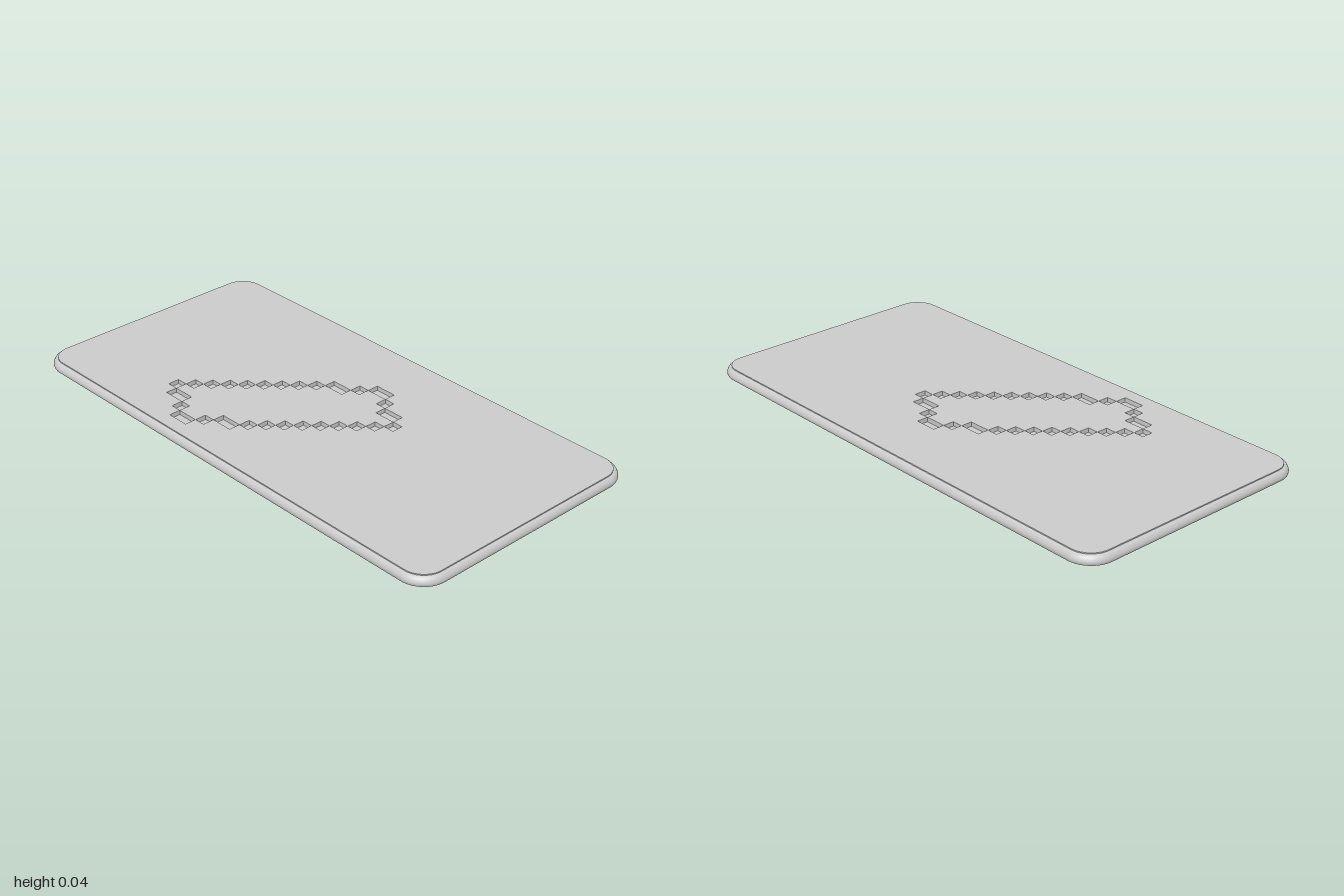
import * as THREE from 'three';
import { toCreasedNormals } from 'three/addons/utils/BufferGeometryUtils.js';

const material = new THREE.MeshStandardMaterial({ color: 0xcccccc });
const WIDTH = 1, LENGTH = 2, CORNER = 0.1;
const TOP = 0.037, PIT_FLOOR = 0.02, LIP_INSET = 0.018;

// Corner points of the slab outline, moved inwards by inset (counter-clockwise)
function outline(inset) {
  const points = [], steps = 10;
  const cx = WIDTH / 2 - CORNER, cy = LENGTH / 2 - CORNER, r = CORNER - inset;
  [[1, 1], [-1, 1], [-1, -1], [1, -1]].forEach(([sx, sy], q) => {
    for (let i = 0; i <= steps; i++) {
      const a = (q + i / steps) * Math.PI / 2;
      points.push(new THREE.Vector2(sx * cx + r * Math.cos(a), sy * cy + r * Math.sin(a)));
    }
  });
  return points;
}

// Rounded side wall lofted through [inset, height] sections
function loft(sections) {
  const positions = [], index = [];
  const n = outline(0).length;
  sections.forEach(([inset, y], s) => {
    outline(inset).forEach((p, i) => {
      positions.push(p.x, y, -p.y);
      if (s === 0) return;
      const j = (i + 1) % n, low = (s - 1) * n, high = s * n;
      index.push(low + i, low + j, high + j, low + i, high + j, high + i);
    });
  });
  const geometry = new THREE.BufferGeometry();
  geometry.setAttribute('position', new THREE.Float32BufferAttribute(positions, 3));
  geometry.setIndex(index);
  geometry.computeVertexNormals();
  return geometry;
}

// Engraved cells: [column, first row, rows]; the other half is its point mirror
function engravedCells() {
  const half = [[3, 0, 1], [2, 1, 2], [1, 3, 1], [0, 4, 2], [1, 6, 1], [2, 7, 2]];
  for (let i = 0; i < 8; i++) half.push([3 + i, 9 + i, 1]);
  return half.flatMap(([c, r, n]) => [[c, r, n], [14 - c, 18 - r - n, n]]);
}

function cellHole([column, row, rows]) {
  const w = 0.0455, h = 0.0441, gap = 0.0004;
  const x0 = -0.426 + column * w + gap, x1 = x0 + w - 2 * gap;
  const y0 = 0.508 - row * h - gap, y1 = y0 - rows * h + 2 * gap;
  return new THREE.Path([
    new THREE.Vector2(x0, y0), new THREE.Vector2(x1, y0),
    new THREE.Vector2(x1, y1), new THREE.Vector2(x0, y1),
  ]);
}

export function createModel() {
  const group = new THREE.Group();
  const add = (name, geometry) => {
    const mesh = new THREE.Mesh(geometry, material);
    mesh.name = name;
    group.add(mesh);
    return mesh;
  };

  // Rounded rim, fullest just above the base
  add('rim', loft([
    [0.003, 0], [0.0005, 0.006], [0, 0.012], [0.002, 0.019],
    [0.006, 0.026], [0.011, 0.031], [LIP_INSET, 0.033],
  ]));

  // Flat underside
  add('underside', new THREE.ShapeGeometry(new THREE.Shape(outline(0.003))).rotateX(Math.PI / 2));

  // Raised top plate, pierced by the stepped outline
  const plate = new THREE.Shape(outline(LIP_INSET));
  plate.holes = engravedCells().map(cellHole);
  const plateGeometry = new THREE.ExtrudeGeometry(plate, {
    depth: TOP - PIT_FLOOR, bevelEnabled: false,
  }).rotateX(-Math.PI / 2).translate(0, PIT_FLOOR, 0);
  add('topPlate', toCreasedNormals(plateGeometry, 0.6));

  // Floor under the engraved cells
  add('engravingFloor', new THREE.PlaneGeometry(0.8, 0.9).rotateX(-Math.PI / 2))
    .position.set(-0.08, PIT_FLOOR, -0.11);

  return group;
}
